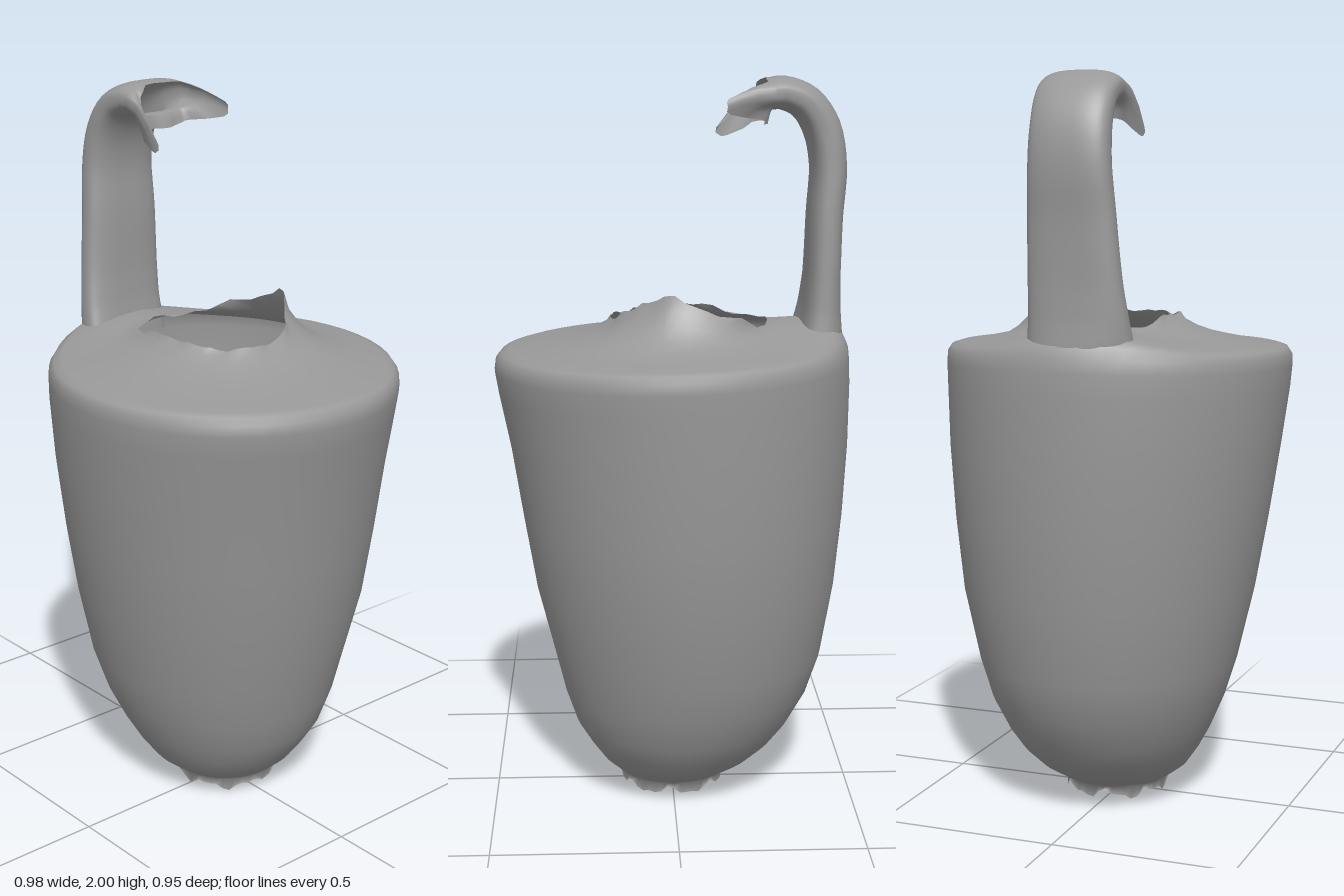
import * as THREE from 'three';

const SEG = 48;
const lerp = THREE.MathUtils.lerp;

// Skin a list of closed rings (arrays of Vector3) with smooth normals
function loft(rings, name) {
  const n = rings[0].length, pos = [], idx = [];
  rings.forEach(r => r.forEach(p => pos.push(p.x, p.y, p.z)));
  for (let j = 0; j < rings.length - 1; j++) {
    for (let i = 0; i < n; i++) {
      const a = j * n + i, b = j * n + (i + 1) % n;
      idx.push(a, a + n, b, b, a + n, b + n);
    }
  }
  const g = new THREE.BufferGeometry();
  g.setAttribute('position', new THREE.Float32BufferAttribute(pos, 3));
  g.setIndex(idx);
  g.computeVertexNormals();
  const mesh = new THREE.Mesh(g, new THREE.MeshStandardMaterial({
    color: 0x999999, side: THREE.DoubleSide }));
  mesh.name = name;
  return mesh;
}

// Value around a closed list of samples, u in 0..1
function around(list, u) {
  const f = u * list.length, i = Math.floor(f) % list.length;
  return lerp(list[i], list[(i + 1) % list.length], f - Math.floor(f));
}

// Small irregular chipping, repeatable
const chip = i => Math.sin(i * 0.9) * 0.6 + Math.sin(i * 1.9 + 1) * 0.4;

const ring = fn => Array.from({ length: SEG }, (_, i) => fn(i, i / SEG, i / SEG * Math.PI * 2));

// Swelling of the shoulder where the handle grows out of it
const swell = a => Math.max(0, -Math.cos(a + 0.1)) ** 7;

function createBody() {
  // y, x radius, z radius, x centre, z centre, share of swelling
  const levels = [
    [0.04, 0.14, 0.14, 0, -0.01, 0], [0.055, 0.165, 0.165, -0.005, -0.01, 0],
    [0.09, 0.215, 0.21, -0.015, -0.01, 0], [0.14, 0.26, 0.25, -0.025, -0.015, 0],
    [0.2, 0.302, 0.285, -0.03, -0.017, 0], [0.29, 0.343, 0.325, -0.04, -0.017, 0],
    [0.4, 0.375, 0.358, -0.045, -0.015, 0], [0.6, 0.417, 0.404, -0.037, -0.016, 0],
    [0.8, 0.444, 0.433, -0.03, -0.011, 0], [1.0, 0.466, 0.456, -0.02, -0.005, 0],
    [1.16, 0.483, 0.47, -0.006, 0, 0], [1.22, 0.487, 0.474, 0, 0, 0.2],
    [1.25, 0.483, 0.473, 0, 0, 0.5], [1.268, 0.468, 0.462, 0, 0, 1],
    [1.275, 0.445, 0.44, 0, 0, 1.5], [1.283, 0.38, 0.38, 0, 0, 1.5],
    [1.297, 0.31, 0.31, 0, 0, 0.9]];
  const rings = levels.map(([y, rx, rz, cx, cz, s]) => ring((i, u, a) => {
    const tilt = y > 1.1 ? -0.01 * Math.cos(a) : 0;
    return new THREE.Vector3(cx + rx * Math.cos(a), y + tilt + 0.03 * s * swell(a), cz + rz * Math.sin(a));
  }));
  // Chipped foot
  rings.unshift(ring((i, u, a) => {
    const r = 0.143 + 0.006 * chip(i);
    return new THREE.Vector3(r * Math.cos(a), 0.018 + 0.018 * chip(i), -0.01 + r * Math.sin(a));
  }));
  // Shoulder sweeping up to the broken neck
  const rimR = [0.165, 0.17, 0.165, 0.16, 0.18, 0.25, 0.26, 0.26, 0.235, 0.2, 0.17, 0.165];
  const rimY = [1.345, 1.35, 1.35, 1.36, 1.355, 1.335, 1.335, 1.34, 1.385, 1.43, 1.41, 1.36];
  for (const [tr, ty] of [[0.35, 0.2], [0.65, 0.45], [0.88, 0.75], [1, 1]]) {
    rings.push(ring((i, u, a) => {
      const rough = ty === 1 ? chip(i) : 0;
      const r = lerp(0.31, around(rimR, u), tr) + 0.006 * rough;
      const base = 1.297 - 0.01 * Math.cos(a) + 0.027 * swell(a);
      const y = lerp(base, around(rimY, u), ty) + 0.009 * rough;
      return new THREE.Vector3(r * Math.cos(a), y, r * Math.sin(a));
    }));
  }
  return loft(rings, 'body');
}

function createHandle() {
  // Hollow strap: x, y, z centre, half thickness, half width
  const keys = [
    [-0.41, 1.265, 0.042, 0.062, 0.142], [-0.411, 1.31, 0.042, 0.059, 0.138],
    [-0.413, 1.37, 0.041, 0.052, 0.132], [-0.415, 1.46, 0.036, 0.047, 0.126],
    [-0.418, 1.62, 0.03, 0.047, 0.118], [-0.425, 1.76, 0.027, 0.048, 0.11],
    [-0.405, 1.86, 0.024, 0.05, 0.107], [-0.36, 1.925, 0.018, 0.048, 0.108],
    [-0.3, 1.951, 0.01, 0.045, 0.111], [-0.265, 1.95, 0.003, 0.042, 0.115]];
  const path = new THREE.CatmullRomCurve3(keys.map(k => new THREE.Vector3(k[0], k[1], k[2])));
  const steps = 36, rings = [];
  for (let s = 0; s <= steps; s++) {
    const t = s / steps, f = t * (keys.length - 1);
    const k = Math.min(Math.floor(f), keys.length - 2);
    const p = path.getPoint(t), d = path.getTangent(t);
    const h = lerp(keys[k][3], keys[k + 1][3], f - k);
    const w = lerp(keys[k][4], keys[k + 1][4], f - k);
    const out = new THREE.Vector3(-d.y, d.x, 0).normalize();
    // The root bends round the shoulder, the strap above is straight
    const bend = Math.max(0, 1 - t * 2.5);
    rings.push(ring((i, u, a) => {
      const c = Math.cos(a), n = -Math.sin(a);
      const q = p.clone()
        .addScaledVector(out, h * Math.sign(c) * Math.abs(c) ** 0.75)
        .add(new THREE.Vector3(0, 0, w * Math.sign(n) * Math.abs(n) ** 0.75));
      q.x += bend * q.z * q.z * 1.2;
      return q;
    }));
  }
  // Broken end: ragged tongues along the two edges, a short lip below
  const last = rings[steps];
  for (const t of [0.35, 0.7, 1]) {
    rings.push(last.map((p, i) => {
      const a = i / SEG * Math.PI * 2, n = -Math.sin(a);
      const edge = Math.abs(n) ** 5, under = Math.max(0, -Math.cos(a));
      const reach = (0.012 + 0.122 * edge + 0.01 * chip(i)) * t;
      const drop = ((n > 0 ? 0.11 : 0.03) * edge + 0.04 * under) * t * t;
      return new THREE.Vector3(p.x + reach, p.y - drop, p.z + 0.025 * Math.min(n, 0) * edge * t);
    }));
  }
  return loft(rings, 'handle');
}

export function createModel() {
  const group = new THREE.Group();
  group.name = 'brokenJug';
  group.add(createBody(), createHandle());
  return group;
}
